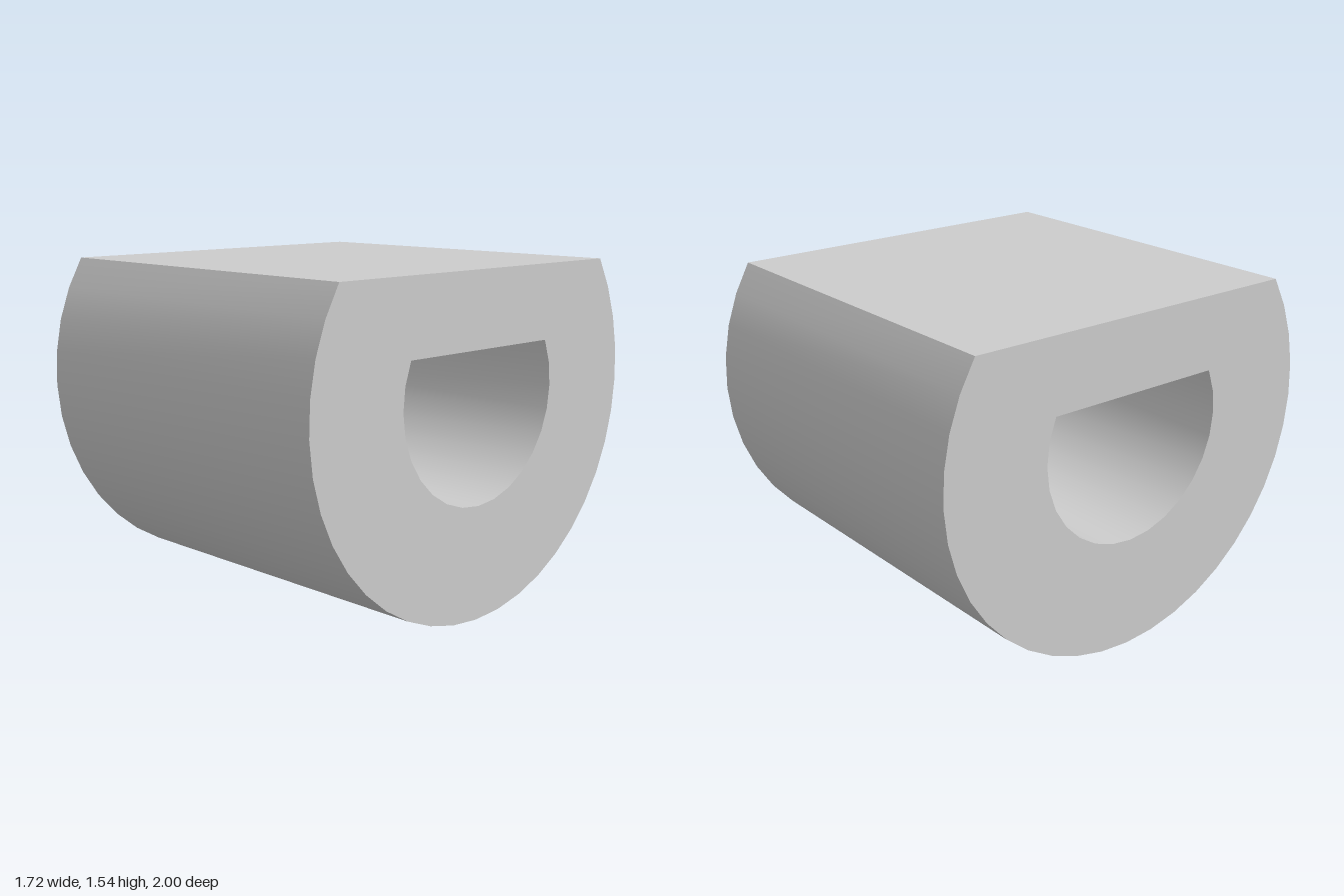
import * as THREE from 'three';
import { toCreasedNormals } from 'three/addons/utils/BufferGeometryUtils.js';

const CENTRE_Y = 1;
const LENGTH = 1.72;

// Circle cut by a horizontal flat at the given height above its centre
function cutCircle(radius, flat, segments) {
  const half = Math.PI / 2 + Math.asin(flat / radius);
  const points = [];
  for (let i = 0; i <= segments; i++) {
    const a = -Math.PI / 2 - half + (2 * half * i) / segments;
    points.push(new THREE.Vector2(radius * Math.cos(a), CENTRE_Y + radius * Math.sin(a)));
  }
  return points;
}

export function createModel() {
  const group = new THREE.Group();
  group.name = 'flattenedSleeve';

  // D-shaped section with a D-shaped bore running right through
  const section = new THREE.Shape(cutCircle(1, 0.54, 28));
  section.holes.push(new THREE.Path(cutCircle(0.483, 0.2, 18)));

  // Extruded along x, with smooth curved walls and sharp edges
  const extruded = new THREE.ExtrudeGeometry(section, { depth: LENGTH, bevelEnabled: false });
  extruded.translate(0, 0, -LENGTH / 2);
  extruded.rotateY(Math.PI / 2);

  const sleeve = new THREE.Mesh(
    toCreasedNormals(extruded, 0.6),
    new THREE.MeshStandardMaterial({ color: 0xcccccc })
  );
  sleeve.name = 'sleeveBody';
  group.add(sleeve);
  return group;
}
